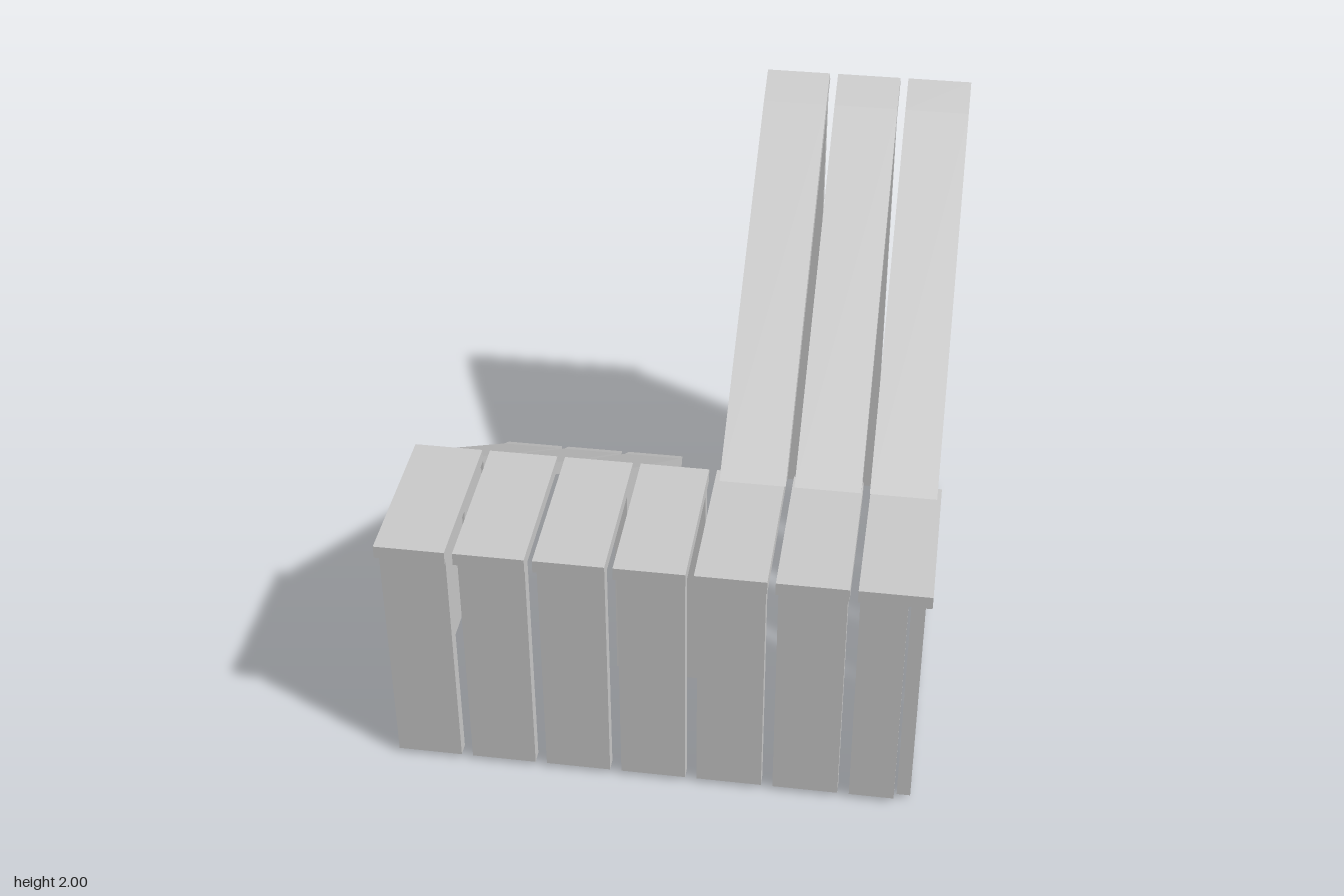
import * as THREE from 'three';

const material = new THREE.MeshStandardMaterial({ color: 0xcccccc, flatShading: true });

// Prism with a side outline given as [z, y] points, spanning x0..x1
function sidePrism(name, points, x0, x1) {
  const shape = new THREE.Shape(points.map(([z, y]) => new THREE.Vector2(-z, y)));
  const geometry = new THREE.ExtrudeGeometry(shape, { depth: x1 - x0, bevelEnabled: false });
  geometry.rotateY(Math.PI / 2).translate(x0, 0, 0);
  const mesh = new THREE.Mesh(geometry, material);
  mesh.name = name;
  return mesh;
}

function board(name, x0, x1, y0, y1, z0, z1) {
  const mesh = new THREE.Mesh(new THREE.BoxGeometry(x1 - x0, y1 - y0, z1 - z0), material);
  mesh.position.set((x0 + x1) / 2, (y0 + y1) / 2, (z0 + z1) / 2);
  mesh.name = name;
  return mesh;
}

function group(name, parent) {
  const g = new THREE.Group();
  g.name = name;
  parent.add(g);
  return g;
}

export function createModel() {
  const model = new THREE.Group();
  model.name = 'plankRamps';
  const floor = 0.02, deckBottom = 0.98;

  // Deck: seven boards side by side
  const deck = group('deck', model);
  for (let i = -3; i <= 3; i++) {
    const x = i * 0.285;
    deck.add(board('deckBoard', x - 0.128, x + 0.128, deckBottom, 1.03, 0.385, 1));
  }

  // Front wall; the last board stops at the side wall
  const frontWall = group('frontWall', model);
  for (let i = -3; i <= 3; i++) {
    const x = i * 0.285;
    frontWall.add(board('frontBoard', x - 0.121, i === 3 ? 0.9 : x + 0.121, floor, deckBottom, 0.915, 0.965));
  }

  // Board closing the back of the deck between the ramps
  model.add(board('deckBackBoard', -0.13, 0.12, floor, deckBottom, 0.385, 0.42));

  // Three sloping boards on each ramp, with a kinked far end
  const upOutline = [[0.45, 1.03], [-0.83, 1.93], [-0.96, 2], [-0.99, 1.96], [-0.85, 1.875], [0.38, 1.02]];
  const downOutline = [[0.385, 1], [-0.91, 0.095], [-1, 0.04], [-0.97, 0], [-0.9, 0.045], [0.385, 0.945]];
  const upRamp = group('upperRamp', model);
  const downRamp = group('lowerRamp', model);
  for (const x of [0.296, 0.572, 0.847]) {
    upRamp.add(sidePrism('upperRampBoard', upOutline, x - 0.122, x + 0.122));
    downRamp.add(sidePrism('lowerRampBoard', downOutline, -x - 0.125, -x + 0.12));
  }

  // Slightly uneven wall boards under the ramps: [bottom front z, bottom back z, top front z, top back z]
  const rampBoards = [
    [0.395, 0.055, 0.357, 0.095],
    [0.04, -0.29, 0.01, -0.25],
    [-0.305, -0.61, -0.325, -0.615],
    [-0.63, -0.905, -0.67, -0.91],
  ];
  const upUnder = z => 1.286 - 0.693 * z;
  const downUnder = z => 0.675 + 0.7 * z;
  function rampWall(name, x0, under, fullHeight) {
    const wall = group(name, model);
    for (const [bf, bb, tf, tb] of rampBoards) {
      // Short boards keep only the matching part of the taper
      const s = fullHeight ? 1 : Math.max(0, under((bf + bb) / 2)) / 1.4;
      const f = bf + (tf - bf) * s;
      const b = fullHeight ? tb : Math.max(bb + (tb - bb) * s, -0.89);
      const bottomBack = fullHeight ? bb : Math.max(bb, -0.89);
      wall.add(sidePrism('rampWallBoard', [[bf, floor], [f, under(f)], [b, under(b)], [bottomBack, floor]], x0, x0 + 0.05));
    }
    return wall;
  }
  const rightWall = rampWall('upperOuterWall', 0.91, upUnder, true);
  rampWall('upperInnerWall', 0.19, upUnder, true);
  const leftWall = rampWall('lowerOuterWall', -0.965, downUnder, false);
  rampWall('lowerInnerWall', -0.235, downUnder, false);

  // Side boards under the deck
  for (const [z0, z1] of [[0.665, 0.94], [0.415, 0.65]]) {
    rightWall.add(board('deckSideBoard', 0.91, 0.96, floor, deckBottom, z0, z1));
    leftWall.add(board('deckSideBoard', -0.965, -0.915, floor, deckBottom, z0, Math.min(z1, 0.912)));
  }

  // Tall back wall, leaning slightly
  const backWall = group('backWall', model);
  const backOutline = [[-0.94, 0.01], [-0.92, 1.92], [-0.97, 1.95], [-0.99, 0.01]];
  for (const x of [0.297, 0.572, 0.845]) {
    backWall.add(sidePrism('backBoard', backOutline, x - 0.118, x + 0.118));
  }
  return model;
}
